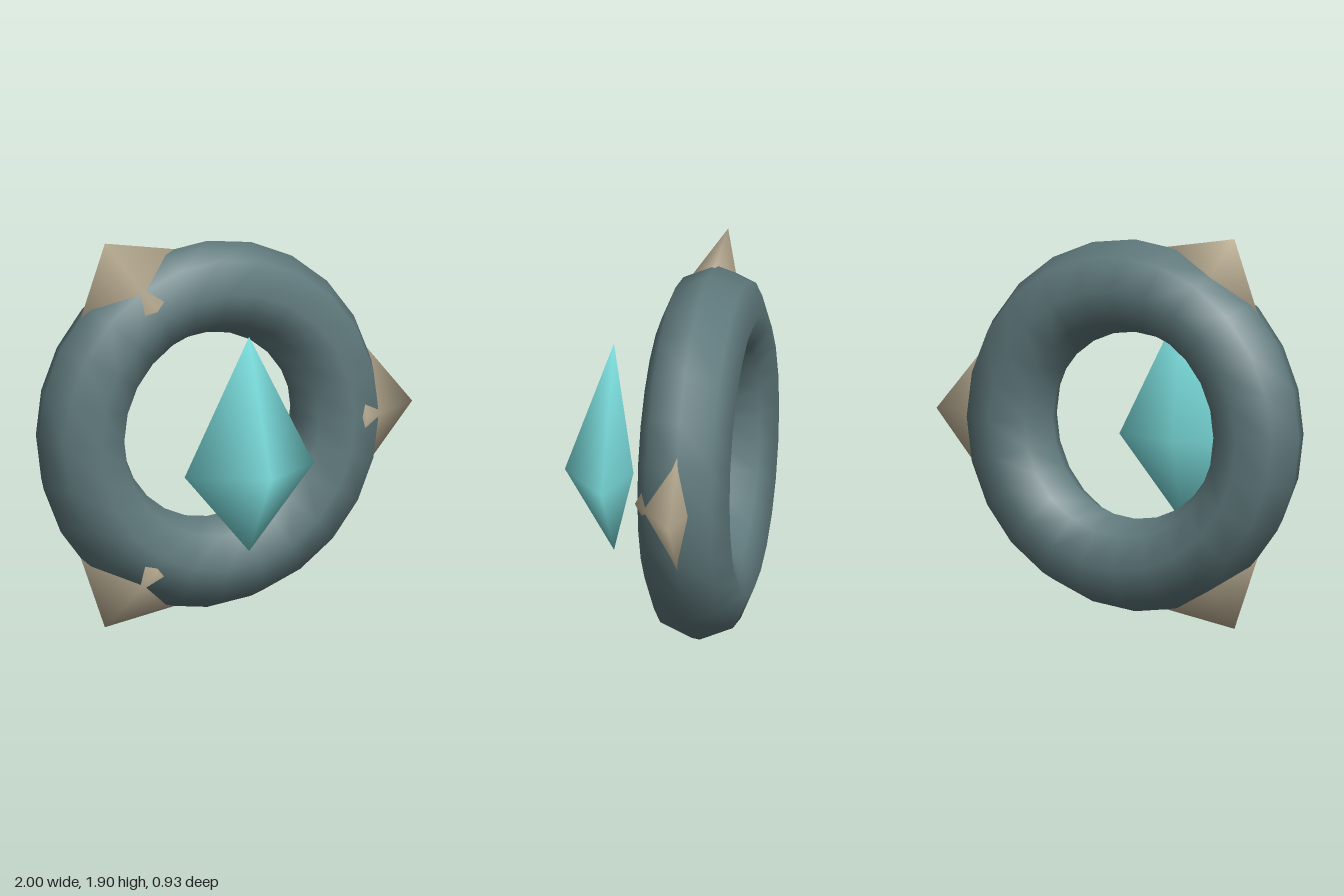
import * as THREE from 'three';

// Four-sided crystal: a kite rim in the xy plane, with a front and a back apex on z.
function crystal(right, top, left, bottom, front, back) {
  const points = [
    right, 0, 0, 0, top, 0, -left, 0, 0, 0, -bottom, 0, // rim
    0, 0, front, 0, 0, -back, // apexes
  ];
  const index = [];
  for (let i = 0; i < 4; i++) {
    const j = (i + 1) % 4;
    index.push(4, i, j, 5, j, i);
  }
  const geometry = new THREE.BufferGeometry();
  geometry.setAttribute('position', new THREE.Float32BufferAttribute(points, 3));
  geometry.setIndex(index);
  geometry.computeVertexNormals(); // shared corners give soft shading
  return geometry;
}

function part(name, geometry, color) {
  const mesh = new THREE.Mesh(geometry, new THREE.MeshStandardMaterial({ color }));
  mesh.name = name;
  return mesh;
}

export function createModel() {
  const model = new THREE.Group();
  model.name = 'ringWithCrystals';

  // Ring and its three studs share one centre
  const ringGroup = new THREE.Group();
  ringGroup.name = 'ringAssembly';
  ringGroup.position.set(-0.095, 0.95, -0.24);
  model.add(ringGroup);
  ringGroup.add(part('ring', new THREE.TorusGeometry(0.68, 0.225, 8, 24), 0x607a7d));

  // Studs, pointing outward every 120 degrees
  const studGeometry = crystal(0.345, 0.41, 0.2, 0.41, 0.225, 0.092);
  for (let i = 0; i < 3; i++) {
    const angle = (i * Math.PI * 2) / 3;
    const stud = part('stud' + (i + 1), studGeometry, 0xbfb297);
    stud.position.set(0.75 * Math.cos(angle), 0.75 * Math.sin(angle), 0);
    stud.rotation.z = angle;
    ringGroup.add(stud);
  }

  // Large gem floating in front of the opening
  const gem = part('gem', crystal(0.345, 0.66, 0.345, 0.4, 0.24, 0.095), 0x7fe3e3);
  gem.position.set(-0.095, 0.82, 0.22);
  model.add(gem);

  return model;
}
